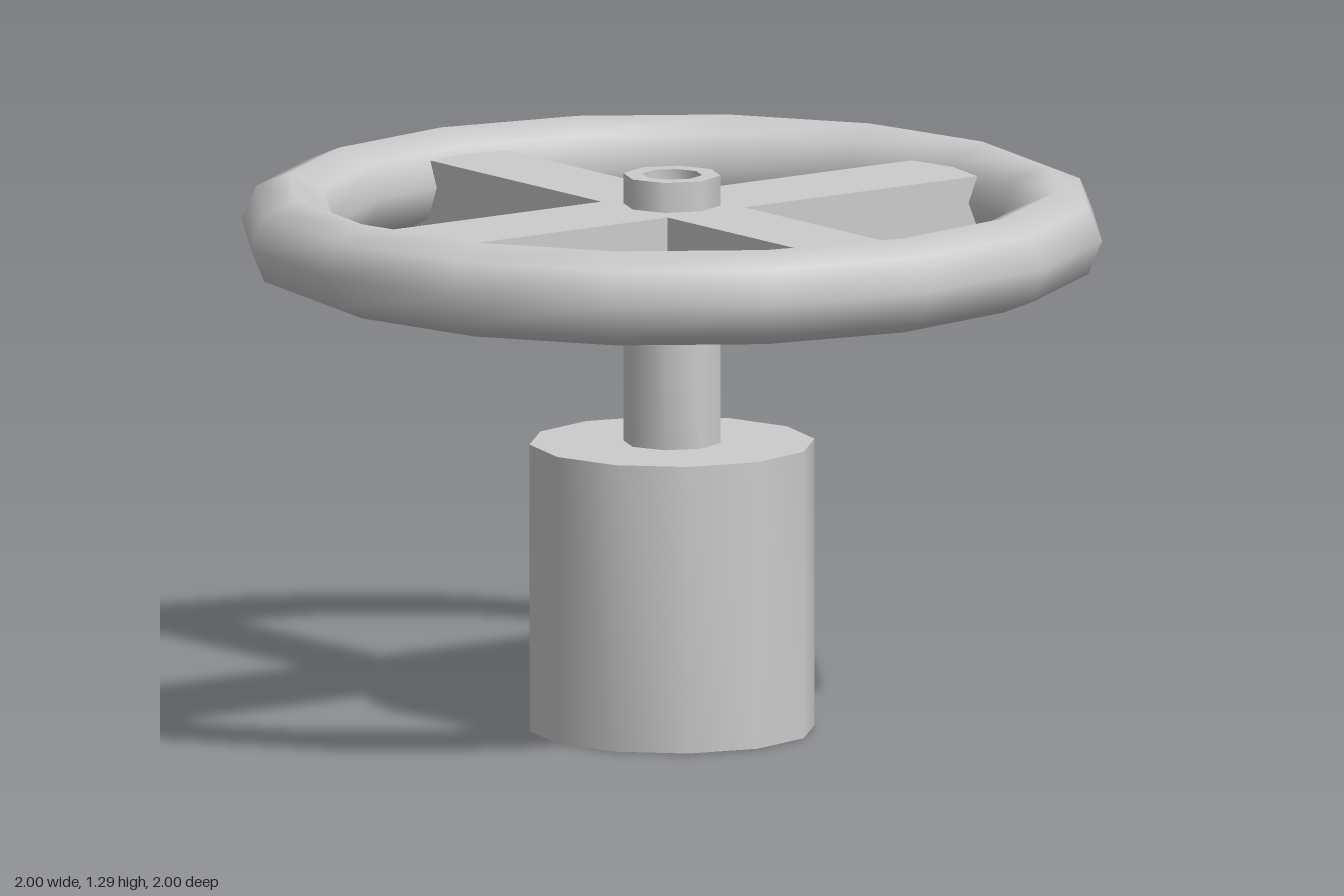
import * as THREE from 'three';
import { toCreasedNormals } from 'three/addons/utils/BufferGeometryUtils.js';

const material = new THREE.MeshStandardMaterial({ color: 0xcccccc });
const openMaterial = new THREE.MeshStandardMaterial({ color: 0xcccccc, side: THREE.DoubleSide });

// Turned part: smooth round the sides, sharp at the rims
function turned(profile, sides) {
  const points = profile.map(([r, y]) => new THREE.Vector2(r, y));
  return toCreasedNormals(new THREE.LatheGeometry(points, sides), Math.PI / 3);
}

// Cross-shaped outline of the four spokes
function crossShape(reach, halfX, halfZ) {
  const corner = [[reach, halfZ], [halfX, halfZ], [halfX, reach]];
  const mirrored = corner.map(([x, z]) => [-x, z]).reverse();
  const upper = [...corner, ...mirrored];
  const lower = upper.map(([x, z]) => [x, -z]).reverse();
  return new THREE.Shape([...upper, ...lower].map(([x, z]) => new THREE.Vector2(x, z)));
}

export function createModel() {
  const model = new THREE.Group();
  model.name = 'handwheelValve';
  const add = (name, geometry, mat = material) => {
    const mesh = new THREE.Mesh(geometry, mat);
    mesh.name = name;
    model.add(mesh);
    return mesh;
  };

  // Base pipe, closed on top and open underneath
  add('base', turned([[0.33, 0], [0.33, 0.67], [0, 0.67]], 12), openMaterial);

  // Stem running through the hub, with a shallow socket in its top
  add('stem', turned([[0.113, 0.67], [0.113, 1.295], [0.07, 1.295], [0.07, 1.255], [0, 1.255]], 8));

  // Four spokes in one piece, ends buried in the rim
  const spokes = new THREE.ExtrudeGeometry(crossShape(0.86, 0.127, 0.11), { depth: 0.16, bevelEnabled: false });
  spokes.rotateX(-Math.PI / 2);
  add('spokes', spokes).position.set(0.003, 1.065, 0);

  // Wheel rim
  const rim = new THREE.TorusGeometry(0.89, 0.11, 8, 16);
  rim.rotateX(-Math.PI / 2);
  add('rim', rim).position.y = 1.165;

  return model;
}
